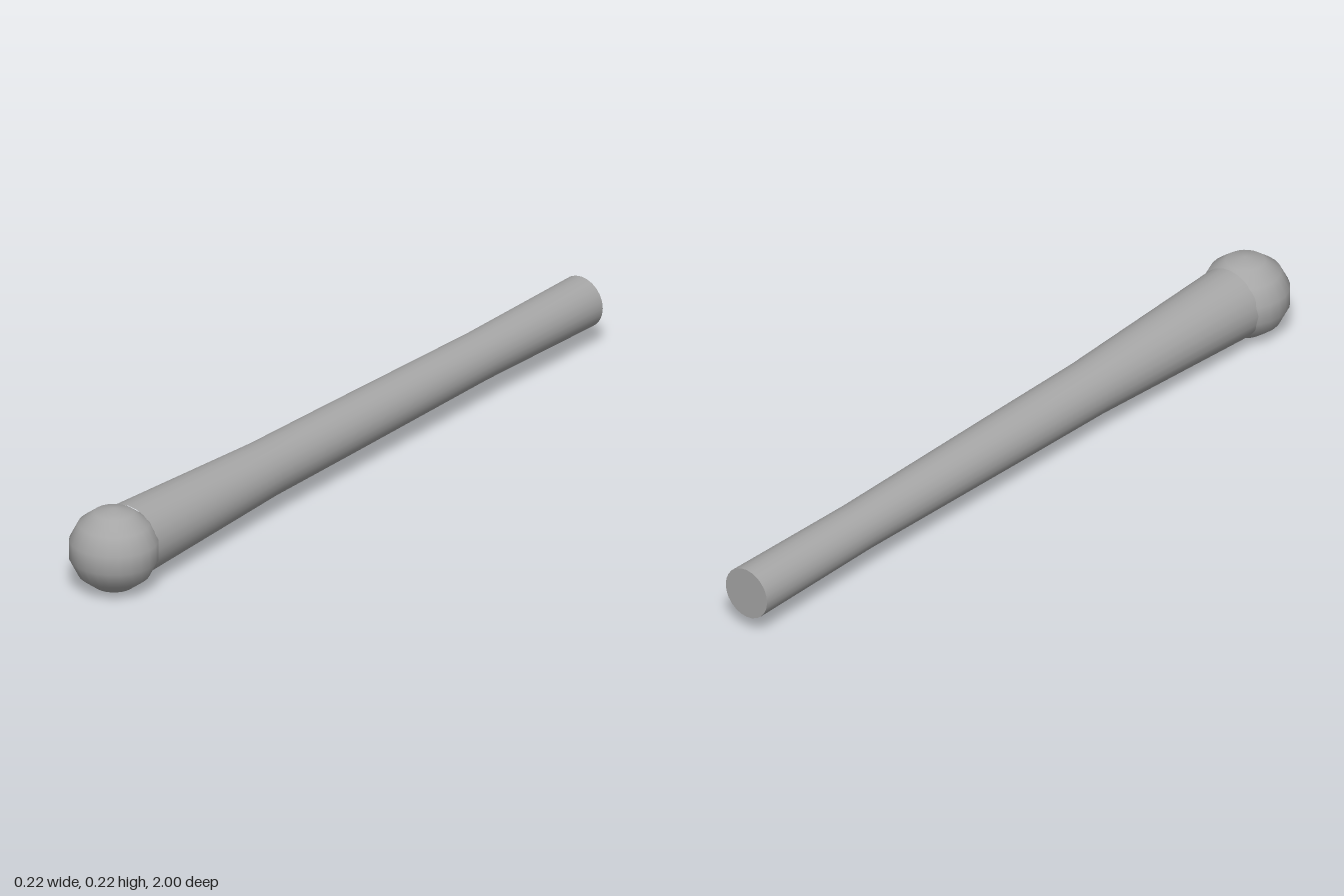
import * as THREE from 'three';

export function createModel() {
  const group = new THREE.Group();
  const grey = new THREE.MeshStandardMaterial({ color: 0xa6a6a6 });
  grey.name = 'grey';

  const axisY = 0.11;

  // Flared shaft: [radius, z] from the back end to inside the knob
  const profile = [
    [0.068, -1], [0.063, -0.58], [0.07, -0.02], [0.073, 0.29], [0.095, 0.83],
  ].map(([r, z]) => new THREE.Vector2(r, z));
  const shaft = new THREE.Mesh(new THREE.LatheGeometry(profile, 24), grey);
  shaft.name = 'shaft';
  shaft.rotation.x = Math.PI / 2;
  shaft.position.y = axisY;
  group.add(shaft);

  // Flat cap closing the back end
  const endCap = new THREE.Mesh(new THREE.CircleGeometry(0.068, 24), grey);
  endCap.name = 'endCap';
  endCap.rotation.y = Math.PI;
  endCap.position.set(0, axisY, -1);
  group.add(endCap);

  // Slightly squashed round knob at the front
  const knob = new THREE.Mesh(new THREE.SphereGeometry(0.115, 24, 7), grey);
  knob.name = 'knob';
  knob.scale.y = 0.95;
  knob.position.set(0, axisY, 0.888);
  group.add(knob);

  return group;
}
